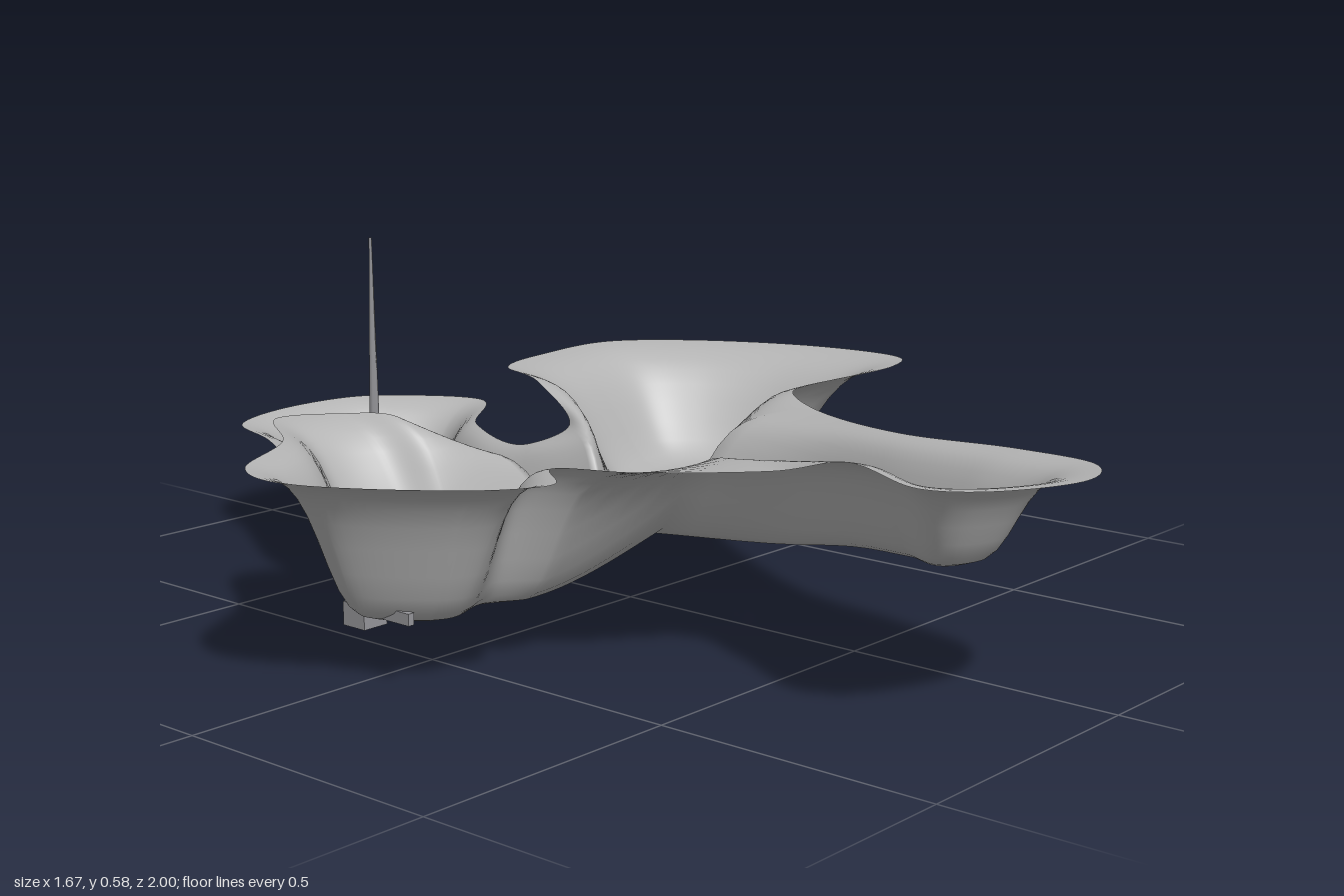
import * as THREE from 'three';

const stone = new THREE.MeshStandardMaterial({ color: 0xb4b4b4, side: THREE.DoubleSide });
stone.name = 'light grey';
const metal = new THREE.MeshStandardMaterial({ color: 0x96969a });
metal.name = 'metal grey';

// An arm: rim heights (at the notch before it, near the centre, at the tip),
// sideways fall of the rim, outward fraction where the wall stands,
// floor points outward from the shared centre, and the rim in plan [x, z].
function makeArm(notch, near, tip, fall, wall, floor, rim) {
  const line = [[-0.03, 0.15, 0], ...floor].map(p => new THREE.Vector3(...p));
  return { notch, near, tip, fall, wall, line, curve: new THREE.CatmullRomCurve3(line), rim };
}
const frontArm = makeArm(0.35, 0.35, 0.4, 0.06, 0.51,
  [[0, 0.17, 0.3], [-0.05, 0.21, 0.55], [-0.13, 0.235, 0.75]],
  [[-0.23, 0.5], [-0.28, 0.68], [-0.355, 0.86], [-0.31, 0.94], [-0.12, 0.998], [0.02, 0.93], [0.07, 0.76], [0.12, 0.5]]);
const leftArm = makeArm(0.335, 0.345, 0.333, 0, 0.56,
  [[0.25, 0.12, -0.12], [0.46, 0.115, -0.2]],
  [[0.27, 0.21], [0.36, 0.09], [0.44, 0.065], [0.73, 0.06], [0.825, 0.01], [0.825, -0.18], [0.71, -0.44],
    [0.575, -0.57], [0.39, -0.57], [0.21, -0.51], [0.11, -0.33]]);
const backArm = makeArm(0.28, 0.25, 0.212, 0, 0.59,
  [[-0.06, 0.13, -0.2], [-0.09, 0.075, -0.4], [0, 0.03, -0.6], [0.08, 0.015, -0.77]],
  [[0.065, -0.21], [0.035, -0.29], [0.16, -0.55], [0.38, -0.76], [0.3, -0.92], [0.22, -0.985], [0.03, -0.998],
    [-0.12, -0.94], [-0.2, -0.77], [-0.36, -0.44], [-0.3, -0.27]]);
const rightArm = makeArm(0.29, 0.345, 0.362, 0, 0.56,
  [[-0.32, 0.1, 0.01], [-0.58, 0.1, 0.01]],
  [[-0.285, -0.22], [-0.34, -0.24], [-0.4, -0.34], [-0.5, -0.375], [-0.63, -0.21], [-0.8, -0.1], [-0.83, 0.01],
    [-0.65, 0.29], [-0.56, 0.335], [-0.47, 0.25], [-0.4, 0.36]]);

const floorPoint = (arm, s) => arm.curve.getPoint(s / (arm.line.length - 1));

// Position along the floor line that lies nearest to a rim point in plan
function nearestFloor(arm, x, z) {
  let best = 0, shortest = Infinity;
  for (let s = 0; s <= arm.line.length - 1; s += 0.05) {
    const p = floorPoint(arm, s), d = Math.hypot(p.x - x, p.z - z);
    if (d < shortest) [best, shortest] = [s, d];
  }
  return best;
}

// Rim stations; each arm's first point is the notch, tied to the centre
function armStations(arm) {
  return arm.rim.map(([x, z], i) => {
    if (i === 0) return { arm, s: 0, wall: 0.44, point: new THREE.Vector3(x, arm.notch, z) };
    const s = nearestFloor(arm, x, z);
    const y = THREE.MathUtils.lerp(arm.near, arm.tip, s / (arm.line.length - 1));
    const wall = THREE.MathUtils.lerp(0.44, arm.wall, Math.min(s, 1));
    return { arm, s, wall, point: new THREE.Vector3(x, y - arm.fall * Math.max(0, x + 0.25), z) };
  });
}

// Wall profile: flat floor, steep wall around fraction w, flat lip
const wallHeight = (t, w) => (t ** 6 / (t ** 6 + w ** 6)) * (1 + w ** 6);

// Valley skin: sections swept around the closed rim
function valleyGeometry() {
  const stations = [frontArm, leftArm, backArm, rightArm].flatMap(armStations);
  const count = stations.length, sub = 12, total = count * sub, rows = 17;
  const rim = new THREE.CatmullRomCurve3(stations.map(st => st.point), true);
  const pos = [], index = [];
  for (let k = 0; k < total; k++) {
    const i = Math.floor(k / sub), f = (k % sub) / sub;
    const here = stations[i], after = stations[(i + 1) % count];
    const a = floorPoint(here.arm, THREE.MathUtils.lerp(here.s, after.s, f));
    const w = THREE.MathUtils.lerp(here.wall, after.wall, f);
    const b = rim.getPoint(k / total);
    const next = ((k + 1) % total) * rows;
    for (let r = 0; r < rows; r++) {
      const t = r / (rows - 1);
      pos.push(a.x + (b.x - a.x) * t, a.y + (b.y - a.y) * wallHeight(t, w), a.z + (b.z - a.z) * t);
      if (r === rows - 1) continue;
      const p = k * rows + r, q = next + r;
      index.push(p, p + 1, q + 1, p, q + 1, q);
    }
  }
  const g = new THREE.BufferGeometry();
  g.setAttribute('position', new THREE.Float32BufferAttribute(pos, 3));
  g.setIndex(index);
  g.computeVertexNormals();
  return g;
}

export function createModel() {
  const model = new THREE.Group();
  const add = (name, geometry, material, x, y, z, parent) => {
    const m = new THREE.Mesh(geometry, material);
    m.name = name;
    m.position.set(x, y, z);
    parent.add(m);
  };
  add('valley', valleyGeometry(), stone, 0, 0, 0, model);

  // Stepped seven-sided tower base and its mast
  const tower = new THREE.Group();
  tower.name = 'tower';
  tower.position.set(0.085, 0, -0.76);
  model.add(tower);
  [0.12, 0.08, 0.06, 0.035].forEach((radius, i) => {
    const step = new THREE.CylinderGeometry(radius - 0.012, radius, 0.034, 7).toNonIndexed();
    step.computeVertexNormals();
    add('towerStep', step, metal, 0, 0.017 + i * 0.034, 0, tower);
  });
  add('mast', new THREE.CylinderGeometry(0.003, 0.012, 0.46, 6), metal, 0, 0.355, -0.01, tower);

  // Small outpost: two rows of sheds, a link and a crooked walkway
  const outpost = new THREE.Group();
  outpost.name = 'outpost';
  model.add(outpost);
  const box = (name, w, h, d, x, y, z) => add(name, new THREE.BoxGeometry(w, h, d), metal, x, y, z, outpost);
  for (const z of [-0.097, -0.068]) {
    for (let i = 0; i < 3; i++) box('shed', 0.045, 0.026, 0.018, -0.51 + i * 0.052, 0.112, z);
  }
  box('link', 0.06, 0.025, 0.025, -0.565, 0.115, -0.083);
  box('walkway', 0.01, 0.02, 0.11, -0.605, 0.116, -0.03);
  box('walkwayEnd', 0.012, 0.02, 0.07, -0.635, 0.118, 0.06);
  box('foundation', 0.05, 0.04, 0.05, -0.615, 0.1, -0.035);

  // Trail of pebbles along the floor
  for (let i = 0; i < 9; i++) {
    const t = i / 8;
    add('pebble', new THREE.TetrahedronGeometry(0.005), metal,
      -0.57 + 0.36 * t, 0.1 + 0.02 * t * t, 0.07 - 0.085 * Math.sqrt(t), model);
  }

  return model;
}
